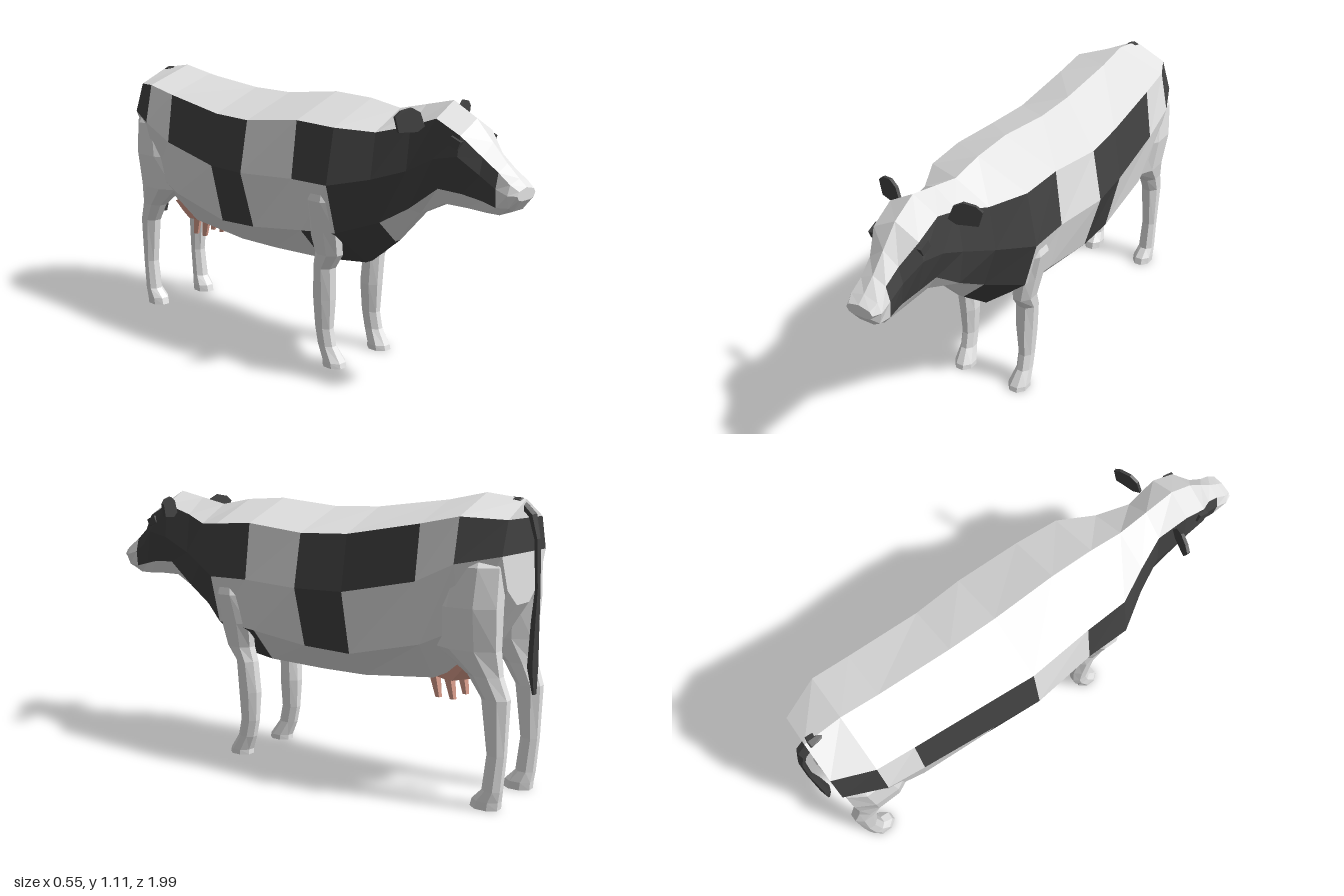
import * as THREE from 'three';
import { ConvexGeometry } from 'three/addons/geometries/ConvexGeometry.js';

const mat = (name, color) => {
  const m = new THREE.MeshStandardMaterial({ color, flatShading: true });
  m.name = name;
  return m;
};

// Skin a row of rings; colorAt(i, j) picks the material of the face after ring i, edge j
function loft(name, rings, colorAt) {
  const n = rings[0].length, lists = new Map();
  const tri = (m, a, b, c) => {
    if (a === b || b === c || a === c) return;
    if (!lists.has(m)) lists.set(m, []);
    lists.get(m).push(...a, ...b, ...c);
  };
  const quad = (m, a, b, c, d) => { tri(m, a, b, c); tri(m, a, c, d); };
  for (let i = 0; i < rings.length - 1; i++)
    for (let j = 0; j < n; j++) {
      const k = (j + 1) % n, p = rings[i], q = rings[i + 1];
      quad(colorAt(i, j), p[j], q[j], q[k], p[k]);
    }
  // End caps in strips from side to side
  const first = rings[0], last = rings[rings.length - 1];
  for (let j = 0; j < Math.floor(n / 2); j++) {
    const s = [j, j + 1, n - 1 - j, (n - j) % n];
    quad(colorAt(0, j), ...s.map(k => first[k]));
    quad(colorAt(rings.length - 2, j), ...s.reverse().map(k => last[k]));
  }
  const group = new THREE.Group();
  group.name = name;
  for (const [m, pos] of lists) {
    const g = new THREE.BufferGeometry();
    g.setAttribute('position', new THREE.Float32BufferAttribute(pos, 3));
    g.computeVertexNormals();
    const mesh = new THREE.Mesh(g, m);
    mesh.name = name + ' ' + m.name;
    group.add(mesh);
  }
  return group;
}

// Limb from rows of [y, x, z, half width, half depth], top to bottom
function limb(name, rows, sides, material, mirror = 1, follow = false) {
  const rings = rows.map(([y, x, z, w, d], i) => {
    let ty = -1, tz = 0;
    if (follow) {
      const a = rows[Math.max(i - 1, 0)], b = rows[Math.min(i + 1, rows.length - 1)];
      const len = Math.hypot(b[0] - a[0], b[2] - a[2]);
      ty = (b[0] - a[0]) / len;
      tz = (b[2] - a[2]) / len;
    }
    return Array.from({ length: sides }, (_, k) => {
      const t = (k + 0.5) / sides * Math.PI * 2, c = Math.cos(t) * w, s = Math.sin(t) * d;
      return [mirror * x + c, y - tz * s, z + ty * s];
    });
  });
  return loft(name, rings, () => material);
}

export function createModel() {
  const cow = new THREE.Group();
  cow.name = 'cow';
  const white = mat('white hide', 0xe4e4e4);
  const dark = mat('dark hide', 0x424242);
  const pink = mat('pink skin', 0xdea18f);

  // Body, neck and head: z, ridge y, back x y, flank x y, lower x y, belly x y,
  // then the colours of the bands from ridge to belly
  const sections = [
    [-0.93, 1.085, 0.14, 1.02, 0.18, 0.90, 0.13, 0.78, 0.05, 0.72, 'wdwww'],
    [-0.78, 1.105, 0.205, 1.03, 0.24, 0.87, 0.19, 0.64, 0.08, 0.50, 'wwwww'],
    [-0.63, 1.075, 0.21, 1.00, 0.24, 0.80, 0.20, 0.57, 0.09, 0.43, 'wdwww'],
    [-0.33, 1.04, 0.22, 0.95, 0.255, 0.74, 0.20, 0.50, 0.09, 0.40, 'wddww'],
    [-0.13, 1.035, 0.235, 0.945, 0.275, 0.74, 0.21, 0.51, 0.09, 0.40, 'wwwww'],
    [0.13, 1.06, 0.22, 0.97, 0.25, 0.75, 0.20, 0.54, 0.08, 0.405, 'wdwdw'],
    [0.31, 1.05, 0.21, 0.96, 0.25, 0.75, 0.20, 0.56, 0.02, 0.41, 'wdddd'],
    [0.45, 1.025, 0.14, 0.95, 0.165, 0.78, 0.11, 0.61, 0.015, 0.52, 'wddww'],
    [0.57, 1.05, 0.09, 0.98, 0.11, 0.82, 0.09, 0.68, 0.02, 0.65, 'wddww'],
    [0.69, 1.075, 0.10, 1.02, 0.115, 0.88, 0.08, 0.77, 0.04, 0.71, 'wddww'],
    [0.79, 1.02, 0.095, 0.97, 0.11, 0.90, 0.075, 0.765, 0.04, 0.71, 'wddww'],
    [0.86, 0.945, 0.06, 0.90, 0.075, 0.84, 0.06, 0.75, 0.035, 0.705, 'wddww'],
    [0.92, 0.88, 0.052, 0.855, 0.066, 0.80, 0.06, 0.735, 0.035, 0.705, 'wwwww'],
    [0.97, 0.835, 0.055, 0.82, 0.07, 0.785, 0.058, 0.74, 0.03, 0.725, 'wwwww'],
    [1.0, 0.81, 0.045, 0.80, 0.055, 0.785, 0.045, 0.77, 0.025, 0.765, 'wwwww'],
  ];
  const rings = sections.map(([z, top, ...p]) => {
    const half = [0, 2, 4, 6].map(k => [p[k], p[k + 1], z]);
    return [[0, top, z], ...half, ...half.map(([x, y]) => [-x, y, z]).reverse()];
  });
  cow.add(loft('body', rings, (i, j) => sections[i][10][j <= 4 ? j : 8 - j] === 'd' ? dark : white));

  const frontLeg = [
    [0.74, 0.195, 0.25, 0.04, 0.06], [0.68, 0.195, 0.245, 0.055, 0.075],
    [0.56, 0.175, 0.235, 0.045, 0.075], [0.46, 0.152, 0.235, 0.045, 0.062],
    [0.40, 0.147, 0.207, 0.045, 0.047], [0.27, 0.14, 0.20, 0.042, 0.05],
    [0.15, 0.14, 0.20, 0.032, 0.042], [0.08, 0.14, 0.215, 0.032, 0.042],
    [0.02, 0.135, 0.248, 0.044, 0.05], [0, 0.135, 0.25, 0.044, 0.053],
  ];
  const hindLeg = [
    [0.90, 0.15, -0.82, 0.05, 0.09], [0.86, 0.15, -0.815, 0.075, 0.115],
    [0.72, 0.16, -0.80, 0.075, 0.13], [0.57, 0.15, -0.80, 0.062, 0.125],
    [0.48, 0.145, -0.865, 0.046, 0.066], [0.40, 0.14, -0.905, 0.042, 0.053],
    [0.20, 0.14, -0.915, 0.033, 0.036], [0.07, 0.14, -0.902, 0.036, 0.038],
    [0.03, 0.136, -0.88, 0.044, 0.055], [0, 0.136, -0.875, 0.044, 0.058],
  ];
  const teat = [[0.45, 0.052, 0, 0.022, 0.025], [0.35, 0.05, -0.02, 0.012, 0.013]];

  // Flat leaf-shaped ear
  const earShape = new THREE.Shape([[0, 0], [0.02, 0.05], [0.055, 0.068], [0.1, 0.06],
    [0.124, 0.04], [0.108, -0.015], [0.03, -0.018]].map(([x, y]) => new THREE.Vector2(x, y)));
  const earGeo = new THREE.ExtrudeGeometry(earShape, { depth: 0.012, bevelEnabled: false });

  for (const [side, s] of [['left', 1], ['right', -1]]) {
    cow.add(limb(side + ' front leg', frontLeg, 8, white, s));
    cow.add(limb(side + ' hind leg', hindLeg, 8, white, s));
    for (const z of [-0.61, -0.67])
      cow.add(limb(side + ' teat', teat.map(([y, x, dz, w, d]) => [y, x, z + dz, w, d]), 5, pink, s));

    const ear = new THREE.Mesh(earGeo, dark);
    ear.name = side + ' ear';
    ear.position.set(s * 0.1, 0.988, s > 0 ? 0.63 : 0.642);
    ear.rotation.y = s > 0 ? 0.3 : Math.PI - 0.3;
    cow.add(ear);

    const eye = new THREE.Mesh(new THREE.BoxGeometry(0.022, 0.032, 0.045), dark);
    eye.name = side + ' eye';
    eye.position.set(s * 0.1, 0.945, 0.775);
    eye.rotation.x = 0.4;
    cow.add(eye);
  }

  // Udder as a faceted bag
  const bag = [];
  for (const s of [-1, 1])
    for (const [x, y, z] of [[0.06, 0.47, -0.53], [0.1, 0.55, -0.62], [0.1, 0.50, -0.77],
      [0.08, 0.44, -0.60], [0.08, 0.425, -0.70], [0.05, 0.44, -0.78], [0.04, 0.415, -0.66]])
      bag.push(new THREE.Vector3(s * x, y, z));
  const udder = new THREE.Mesh(new ConvexGeometry(bag), pink);
  udder.name = 'udder';
  cow.add(udder);

  // Tail with a thicker tuft
  cow.add(limb('tail', [
    [1.08, 0, -0.82, 0.015, 0.015], [1.075, 0, -0.91, 0.025, 0.016],
    [1.03, 0, -0.955, 0.025, 0.014], [0.95, 0, -0.975, 0.018, 0.011],
    [0.78, 0, -0.983, 0.014, 0.01], [0.66, 0, -0.978, 0.02, 0.016],
    [0.50, 0, -0.975, 0.03, 0.02], [0.40, 0, -0.985, 0.014, 0.006],
  ], 6, dark, 1, true));
  return cow;
}
